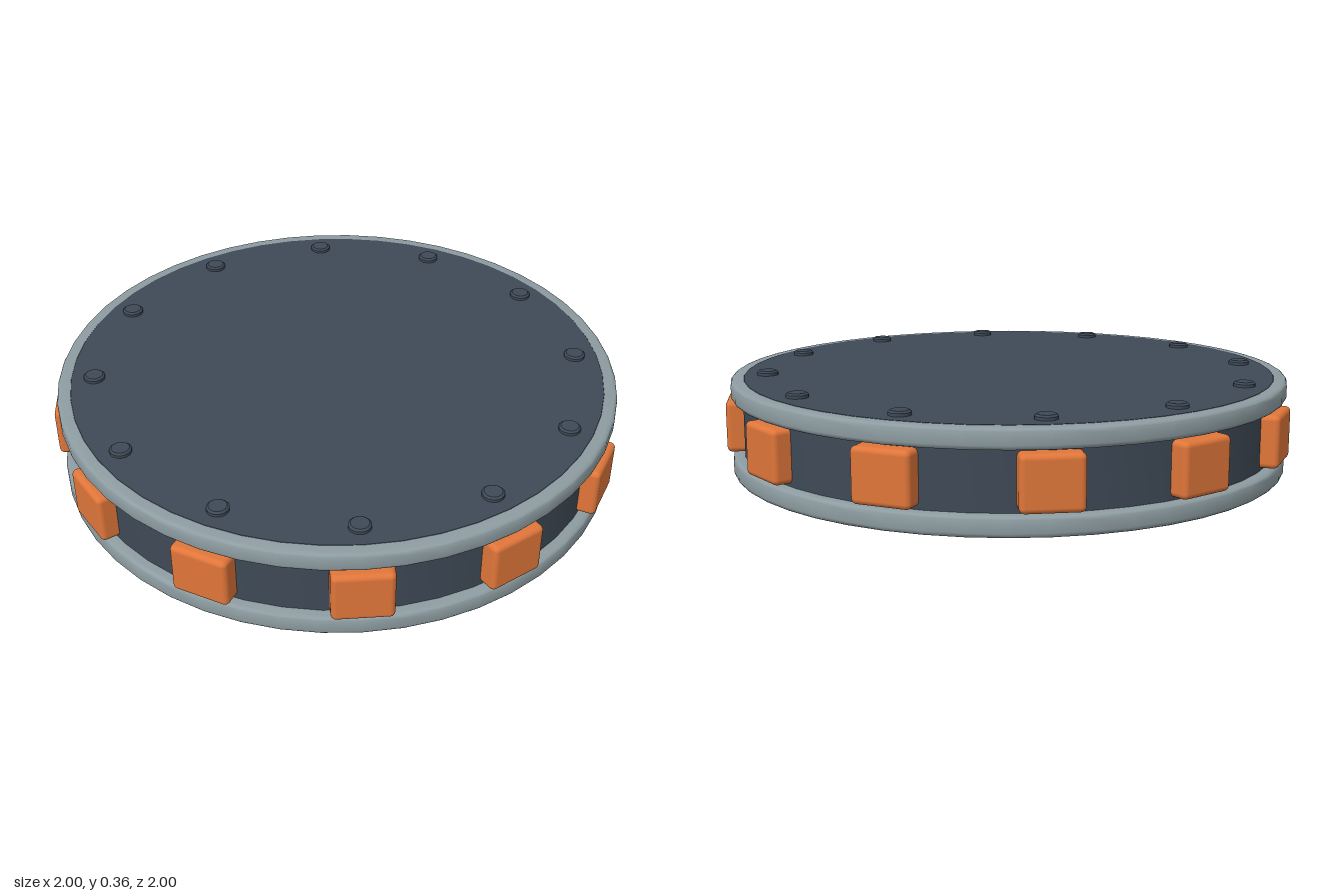
import * as THREE from 'three';
import { toCreasedNormals } from 'three/addons/utils/BufferGeometryUtils.js';
import { RoundedBoxGeometry } from 'three/addons/geometries/RoundedBoxGeometry.js';

const SEGMENTS = 48;
const COUNT = 12;

function material(name, color) {
  const m = new THREE.MeshStandardMaterial({ color });
  m.name = name;
  return m;
}

// Smooth round solid from [radius, height] pairs, with crisp edges kept
function turned(points, segments = SEGMENTS) {
  const profile = points.map(([r, y]) => new THREE.Vector2(r, y));
  return toCreasedNormals(new THREE.LatheGeometry(profile, segments), 0.6);
}

// Closed band with rounded outer edges
function bandProfile(inner, outer, height, bevel) {
  const pts = [[inner, 0]];
  for (let i = 0; i <= 4; i++) {
    const a = (i / 4) * Math.PI / 2;
    pts.push([outer - bevel + bevel * Math.sin(a), bevel - bevel * Math.cos(a)]);
  }
  for (let i = 0; i <= 4; i++) {
    const a = (i / 4) * Math.PI / 2;
    pts.push([outer - bevel + bevel * Math.cos(a), height - bevel + bevel * Math.sin(a)]);
  }
  pts.push([inner, height], [inner, 0]);
  return pts;
}

export function createModel() {
  const slate = material('slate', 0x3e4956);
  const steel = material('steel grey', 0x8d9ca1);
  const orange = material('orange', 0xe0763a);

  const model = new THREE.Group();
  model.name = 'disc';
  const add = (name, geometry, mat, parent = model) => {
    const mesh = new THREE.Mesh(geometry, mat);
    mesh.name = name;
    parent.add(mesh);
    return mesh;
  };

  // Main drum with slightly eased rims
  add('body', turned([
    [0, 0], [0.938, 0], [0.945, 0.007], [0.945, 0.333], [0.938, 0.34], [0, 0.34],
  ]), slate);

  // Upper and lower bands
  const band = turned(bandProfile(0.93, 0.985, 0.067, 0.016));
  add('lowerRing', band, steel).position.y = 0.008;
  add('upperRing', band, steel).position.y = 0.272;

  // Pads around the side and bolts on the top
  const padGeometry = new RoundedBoxGeometry(0.2, 0.18, 0.1, 3, 0.018);
  const boltGeometry = turned([
    [0, 0], [0.037, 0], [0.037, 0.015], [0.03, 0.021], [0, 0.021],
  ], 16);
  const pads = new THREE.Group();
  pads.name = 'sidePads';
  const bolts = new THREE.Group();
  bolts.name = 'topBolts';
  model.add(pads, bolts);
  for (let i = 0; i < COUNT; i++) {
    const angle = (i / COUNT) * Math.PI * 2;
    const s = Math.sin(angle), c = Math.cos(angle);
    const pad = add('pad', padGeometry, orange, pads);
    pad.position.set(0.95 * s, 0.175, 0.95 * c);
    pad.rotation.y = angle;
    add('bolt', boltGeometry, slate, bolts).position.set(0.857 * s, 0.335, 0.857 * c);
  }
  return model;
}
